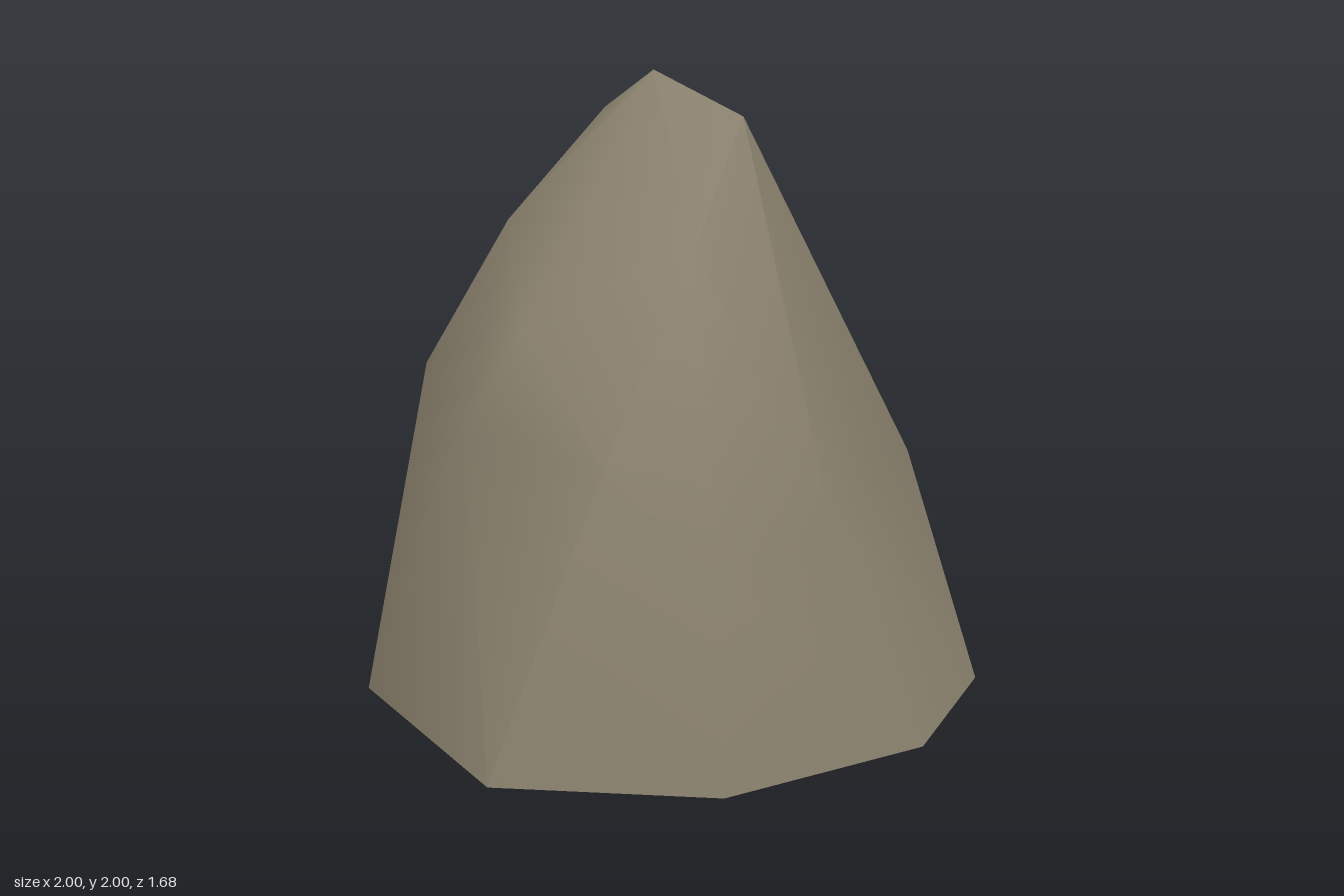
import * as THREE from 'three';
import { toCreasedNormals } from 'three/addons/utils/BufferGeometryUtils.js';

// Three loops of corners, ordered from +x towards +z; the bottom is open.
const base = [[1, 0, 0.1], [0.68, 0, 0.59], [0.02, 0, 0.84], [-0.65, 0, 0.67],
  [-1, 0, -0.11], [-0.85, 0, -0.83], [-0.02, 0, -0.84], [0.81, 0, -0.44]];
const middle = [[0.79, 0.75, -0.07], [0.38, 0.75, 0.56], [0.02, 0.63, 0.73], [-0.3, 0.94, 0.65],
  [-0.67, 0.95, 0.19], [-0.77, 0.97, -0.63], [0.12, 0.73, -0.7], [0.62, 0.94, -0.42]];
const shoulder = [[0.27, 1.75, -0.33], [0.2, 1.87, 0.08], [0, 1.52, 0.4],
  [-0.5, 1.27, 0.3], [-0.5, 1.52, -0.25], [-0.47, 1.38, -0.66]];
const peak = [-0.05, 2, -0.1];
const backPeak = [-0.17, 1.86, -0.39];

export function createModel() {
  const stone = new THREE.MeshStandardMaterial({ color: 0x8a816d, side: THREE.DoubleSide });
  stone.name = 'stone';
  const positions = [];
  const v = (p) => new THREE.Vector3(...p);
  const tri = (a, b, c) => {
    if (a !== b && b !== c && c !== a) positions.push(...a, ...b, ...c);
  };
  // Splits a four-cornered patch along the diagonal that bulges outward.
  const quad = (a, b, c, d) => {
    const normal = v(b).sub(v(a)).cross(v(c).sub(v(a)));
    if (normal.dot(v(d).sub(v(a))) <= 0) {
      tri(a, b, c);
      tri(a, c, d);
    } else {
      tri(a, b, d);
      tri(b, c, d);
    }
  };

  // Walls: the eight middle corners meet the six shoulder corners.
  const upper = [0, 1, 2, 2, 3, 4, 5, 0].map((i) => shoulder[i]);
  for (let i = 0; i < 8; i++) {
    const j = (i + 1) % 8;
    if (i === 5) {
      // Long ridge running down the back corner
      tri(base[5], middle[5], upper[6]);
      tri(base[5], upper[6], middle[6]);
      tri(base[5], middle[6], base[6]);
      tri(middle[5], upper[5], upper[6]);
      continue;
    }
    quad(base[i], middle[i], middle[j], base[j]);
    if (upper[i] === upper[j]) tri(middle[i], upper[i], middle[j]);
    else quad(middle[i], upper[i], upper[j], middle[j]);
  }

  // Summit: a fan at the front, and a small second peak behind.
  for (let i = 0; i < 4; i++) tri(shoulder[i], peak, shoulder[i + 1]);
  tri(shoulder[4], peak, backPeak);
  tri(shoulder[4], backPeak, shoulder[5]);
  tri(shoulder[5], backPeak, shoulder[0]);
  tri(backPeak, peak, shoulder[0]);

  const geometry = new THREE.BufferGeometry();
  geometry.setAttribute('position', new THREE.Float32BufferAttribute(positions, 3));
  const rock = new THREE.Mesh(toCreasedNormals(geometry, 0.85), stone);
  rock.name = 'rock';

  const group = new THREE.Group();
  group.name = 'boulder';
  group.add(rock);
  return group;
}
